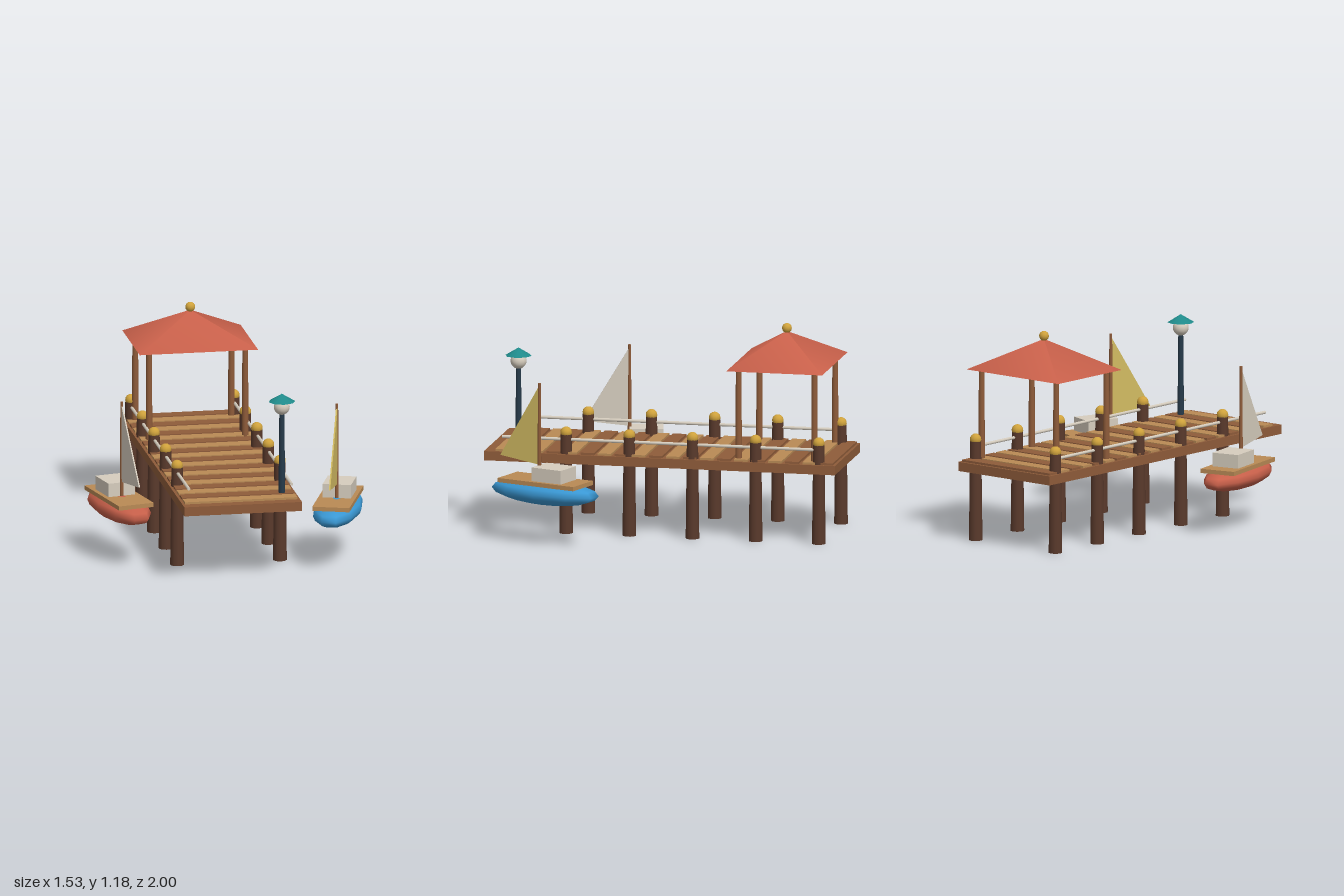
import * as THREE from 'three';

const mat = (name, color, side = THREE.FrontSide) => {
  const m = new THREE.MeshStandardMaterial({ color, side });
  m.name = name;
  return m;
};

export function createModel() {
  const timber = mat('timber brown', 0x8f5c3a);
  const plankLight = mat('light plank', 0xb98a55);
  const pileWood = mat('dark pile wood', 0x5a3a2c);
  const gold = mat('gold', 0xcfa23c);
  const cream = mat('cream', 0xd6cdbe);
  const red = mat('coral red', 0xc8604a);
  const teal = mat('teal', 0x1f8a8a);
  const navy = mat('navy iron', 0x263a4a);
  const blue = mat('boat blue', 0x3a98d4);
  const yellow = mat('sail yellow', 0xd2bb62);

  const model = new THREE.Group();
  model.name = 'pier';

  const add = (parent, name, geometry, material, x, y, z) => {
    const mesh = new THREE.Mesh(geometry, material);
    mesh.name = name;
    mesh.position.set(x, y, z);
    parent.add(mesh);
    return mesh;
  };
  const box = (w, h, d) => new THREE.BoxGeometry(w, h, d);
  // Upright round post standing between two heights
  const post = (parent, name, rTop, rBottom, y0, y1, material, x, z) =>
    add(parent, name, new THREE.CylinderGeometry(rTop, rBottom, y1 - y0, 10), material, x, (y0 + y1) / 2, z);

  const cx = -0.03;

  // Deck frame with alternating planks
  add(model, 'deckFrame', box(0.666, 0.052, 2), timber, cx, 0.426, 0);
  for (let i = 0; i < 20; i++) {
    add(model, 'plank', box(0.636, 0.016, 0.076), i % 2 ? timber : plankLight, cx, 0.456, 0.9 - i * 0.0972);
  }

  // Piles with gold caps, and a rail along each side
  for (const side of [-1, 1]) {
    const x = cx + side * 0.291;
    for (let i = 0; i < 5; i++) {
      const z = 0.54 - i * 0.36;
      post(model, 'pile', 0.032, 0.039, 0, 0.56, pileWood, x, z);
      add(model, 'pileCap', new THREE.SphereGeometry(0.033, 12, 8), gold, x, 0.57, z);
    }
    const rail = add(model, 'rail', new THREE.CylinderGeometry(0.009, 0.009, 1.81, 8), cream, x, 0.531, 0);
    rail.rotation.x = Math.PI / 2;
  }

  // Roofed shelter at the far end
  const shelter = new THREE.Group();
  shelter.name = 'shelter';
  shelter.position.set(cx, 0, -0.655);
  model.add(shelter);
  for (const sx of [-1, 1]) {
    for (const sz of [-1, 1]) {
      post(shelter, 'shelterPost', 0.016, 0.019, 0.45, 0.97, timber, sx * 0.272, sz * 0.216);
    }
  }
  const roofGeometry = new THREE.ConeGeometry(0.335 * Math.SQRT2, 0.175, 4);
  roofGeometry.rotateY(Math.PI / 4).scale(1, 1, 0.815);
  add(shelter, 'roof', roofGeometry, red, 0, 1.0525, 0);
  add(shelter, 'finial', new THREE.SphereGeometry(0.028, 12, 8), gold, 0, 1.157, 0);

  // Lamp at the front corner
  const lamp = new THREE.Group();
  lamp.name = 'lamp';
  lamp.position.set(0.221, 0, 0.82);
  model.add(lamp);
  post(lamp, 'lampPost', 0.014, 0.019, 0.45, 0.94, navy, 0, 0);
  add(lamp, 'lampGlobe', new THREE.SphereGeometry(0.045, 14, 10), cream, 0, 0.957, 0);
  add(lamp, 'lampHat', new THREE.ConeGeometry(0.075, 0.045, 8), teal, 0, 1.01, 0);

  // Sailing boat with its stern toward local +z
  const boat = (name, hullMaterial, sailMaterial, x, z, turn) => {
    const g = new THREE.Group();
    g.name = name;
    g.position.set(x, 0, z);
    g.rotation.y = turn;
    model.add(g);
    const hull = new THREE.SphereGeometry(1, 10, 8);
    hull.scale(0.133, 0.072, 0.342);
    add(g, 'hull', hull, hullMaterial, 0, 0.295, 0);
    add(g, 'boatDeck', box(0.209, 0.024, 0.494), plankLight, 0, 0.352, 0);
    add(g, 'cabin', box(0.16, 0.078, 0.19), cream, 0, 0.402, -0.056);
    post(g, 'mast', 0.008, 0.011, 0.36, 0.906, timber, 0, 0.038);
    // Triangular sail drawn as (distance astern, height)
    const shape = new THREE.Shape([[0.045, 0.445], [0.292, 0.473], [0.045, 0.88]]
      .map(([a, b]) => new THREE.Vector2(a, b)));
    const sail = new THREE.ExtrudeGeometry(shape, { depth: 0.008, bevelEnabled: false });
    sail.rotateY(-Math.PI / 2);
    add(g, 'sail', sail, sailMaterial, 0.004, 0, 0);
  };
  boat('blueBoat', blue, yellow, 0.58, 0.59, -0.34);
  boat('redBoat', red, cream, -0.611, 0.329, 0.222);

  return model;
}
